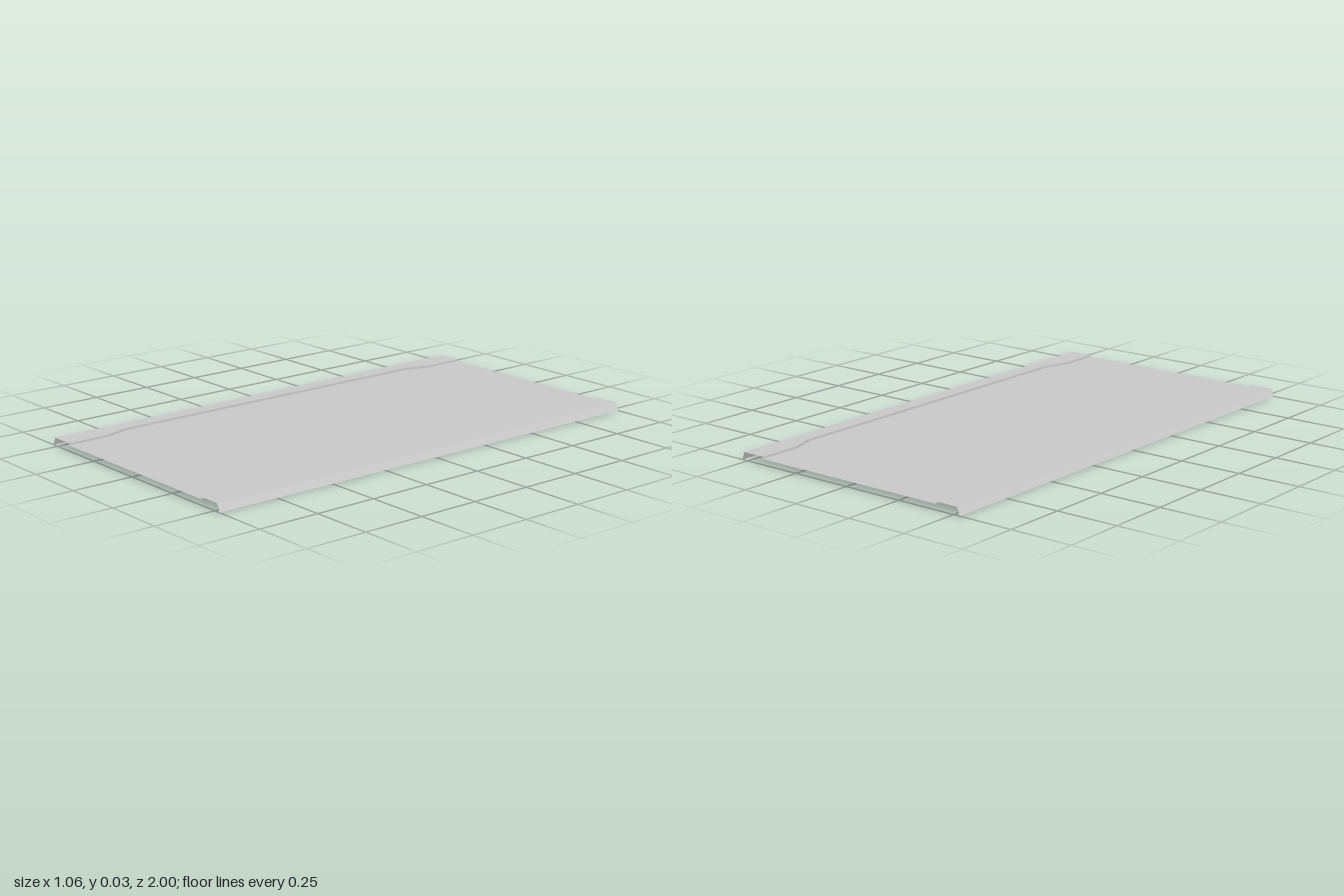
import * as THREE from 'three';

const TOP = 0.031, ROAD = 0.022, EDGE = 0.516, FOOT = 0.528;

// Kerb line: distance from the centre line for each z, narrowing near both ends
const KERB_HALF = [[1, 0.42], [0.835, 0.42], [0.81, 0.424], [0.775, 0.436], [0.745, 0.447], [0.72, 0.452]];
const KERB = [...KERB_HALF.map(([z, x]) => [-z, x]), ...KERB_HALF.slice().reverse()];

const material = new THREE.MeshStandardMaterial({ color: 0xcccccc, side: THREE.DoubleSide });

// Strip running along z between two edges; each edge maps a kerb offset to [x, y]
function strip(name, left, right) {
  const positions = [], index = [];
  KERB.forEach(([z, k], i) => {
    const [ax, ay] = left(k), [bx, by] = right(k);
    positions.push(ax, ay, z, bx, by, z);
    if (i) {
      const n = 2 * i;
      index.push(n - 2, n, n - 1, n - 1, n, n + 1);
    }
  });
  const geometry = new THREE.BufferGeometry();
  geometry.setAttribute('position', new THREE.Float32BufferAttribute(positions, 3));
  geometry.setIndex(index);
  geometry.computeVertexNormals();
  const mesh = new THREE.Mesh(geometry, material);
  mesh.name = name;
  return mesh;
}

export function createModel() {
  const group = new THREE.Group();
  group.name = 'roadSection';

  // Sunken carriageway
  group.add(strip('roadSurface', k => [-k, ROAD], k => [k, ROAD]));

  for (const [side, s] of [['left', 1], ['right', -1]]) {
    // Edges listed from the road outwards, reversed on the mirrored side
    const add = (part, inner, outer) => {
      const a = k => [s * inner(k)[0], inner(k)[1]];
      const b = k => [s * outer(k)[0], outer(k)[1]];
      group.add(s > 0 ? strip(side + part, a, b) : strip(side + part, b, a));
    };
    add('Kerb', k => [k, ROAD], k => [k, TOP]);
    add('Pavement', k => [k, TOP], () => [EDGE, TOP]);
    add('OuterSkirt', () => [EDGE, TOP], () => [FOOT, 0]);
  }
  return group;
}
